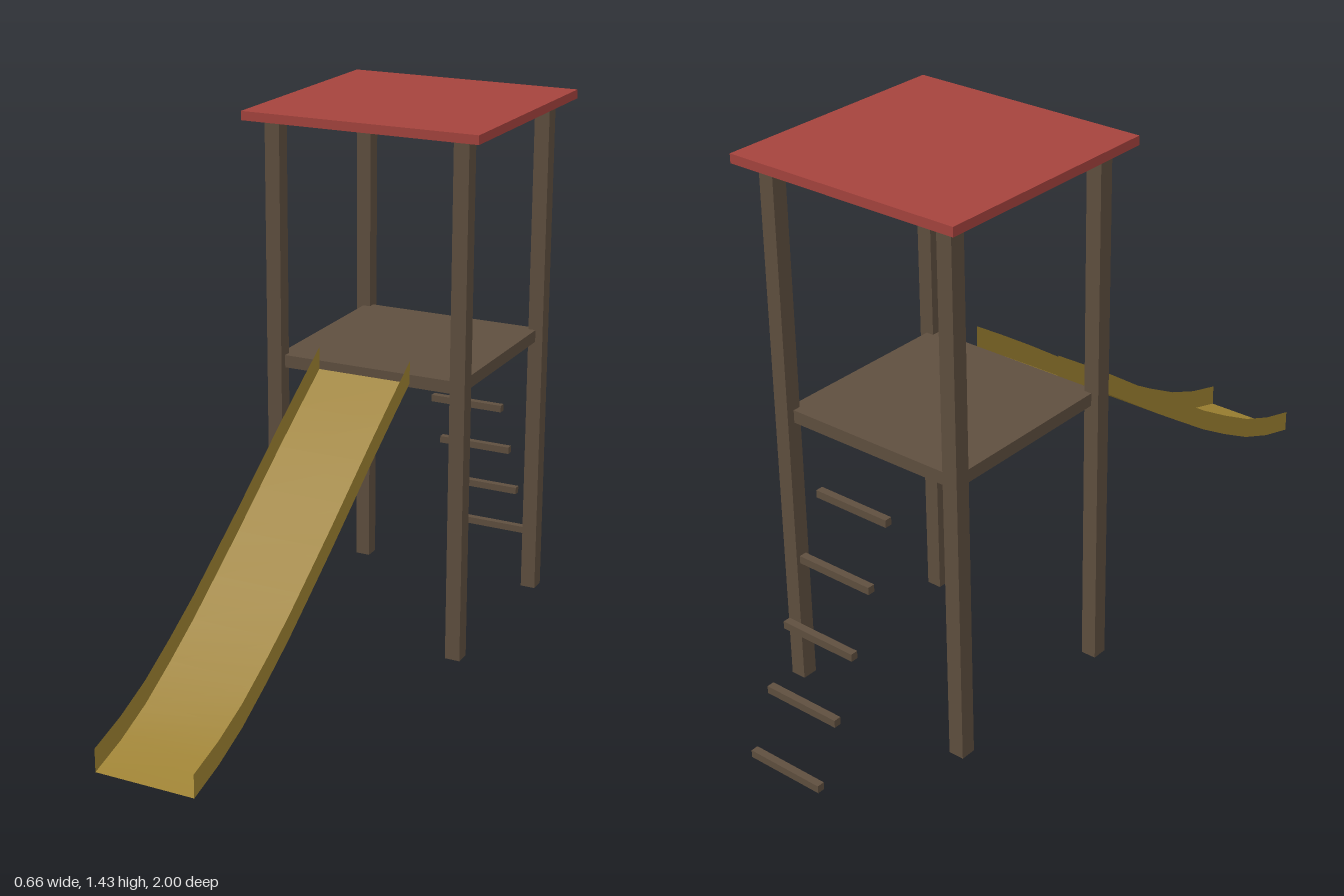
import * as THREE from 'three';

export function createModel() {
  const model = new THREE.Group();
  const wood = new THREE.MeshStandardMaterial({ color: 0x5f4f3f });
  wood.name = 'brown wood';
  const red = new THREE.MeshStandardMaterial({ color: 0xa5433d });
  red.name = 'red roof';
  const yellow = new THREE.MeshStandardMaterial({ color: 0x9e8232, side: THREE.DoubleSide });
  yellow.name = 'yellow slide';

  function box(name, material, size, position) {
    const mesh = new THREE.Mesh(new THREE.BoxGeometry(...size), material);
    mesh.name = name;
    mesh.position.set(...position);
    model.add(mesh);
  }

  // Tower: four posts, a platform and a flat roof
  const towerZ = -0.395, half = 0.265;
  for (const sx of [-1, 1]) {
    for (const sz of [-1, 1]) {
      box((sz > 0 ? 'front' : 'back') + (sx > 0 ? 'Left' : 'Right') + 'Post', wood,
        [0.042, 1.41, 0.042], [sx * half, 0.705, towerZ + sz * half]);
    }
  }
  box('platform', wood, [0.53, 0.034, 0.53], [0, 0.756, towerZ]);
  box('roof', red, [0.66, 0.024, 0.66], [0, 1.42, towerZ]);

  // Ladder rungs, stepping outward towards the ground
  for (let i = 0; i < 5; i++) {
    box('ladderRung', wood, [0.22, 0.02, 0.02], [0, 0.02 + i * 0.151, -0.99 + i * 0.067]);
  }

  // Slide: a thin curved floor with an upright wall along each side
  const profile = [[-0.11, 0.757], [0, 0.686], [0.11, 0.613], [0.22, 0.537], [0.33, 0.461],
    [0.445, 0.385], [0.555, 0.313], [0.665, 0.249], [0.78, 0.188], [0.89, 0.145], [1, 0.115]];
  const slide = new THREE.Group();
  slide.name = 'slide';
  model.add(slide);

  // Strip along the profile between two edges given as [x, height above floor]
  function strip(name, a, b) {
    const positions = [], index = [];
    profile.forEach(([z, y], i) => {
      positions.push(a[0], y + a[1], z, b[0], y + b[1], z);
      if (i > 0) {
        const k = 2 * i;
        index.push(k - 2, k, k - 1, k - 1, k, k + 1);
      }
    });
    const geometry = new THREE.BufferGeometry();
    geometry.setAttribute('position', new THREE.Float32BufferAttribute(positions, 3));
    geometry.setIndex(index);
    geometry.computeVertexNormals();
    const mesh = new THREE.Mesh(geometry, yellow);
    mesh.name = name;
    slide.add(mesh);
  }
  const w = 0.131, wall = 0.06;
  strip('slideFloor', [-w, 0], [w, 0]);
  strip('slideRightWall', [-w, wall], [-w, 0]);
  strip('slideLeftWall', [w, 0], [w, wall]);

  return model;
}
